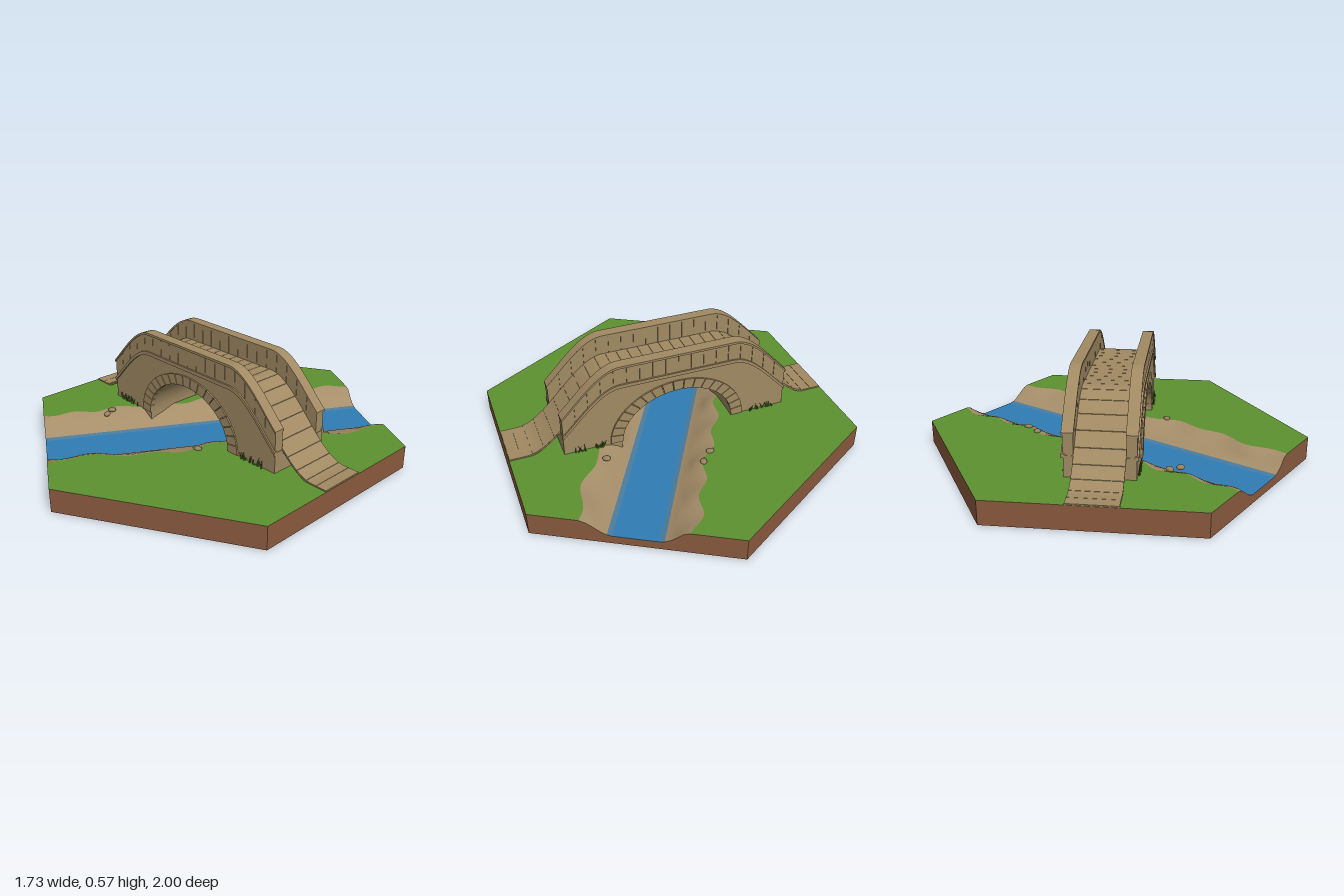
import * as THREE from 'three';
import { mergeGeometries } from 'three/addons/utils/BufferGeometryUtils.js';

const paint = (name, color) => {
  const m = new THREE.MeshStandardMaterial({ color });
  m.name = name;
  return m;
};

// Surface through a grid of points; flat gives hard facets
function sheet(rows, flat = false) {
  const n = rows[0].length, index = [];
  for (let i = 0; i < rows.length - 1; i++)
    for (let j = 0; j < n - 1; j++) {
      const a = i * n + j, b = a + 1, c = a + n, d = c + 1;
      index.push(a, b, c, b, d, c);
    }
  let g = new THREE.BufferGeometry().setFromPoints(rows.flat());
  g.setIndex(index);
  if (flat) g = g.toNonIndexed();
  g.computeVertexNormals();
  return g;
}

// Height of the humped roadway along the bridge
const deckY = x => 0.465 - 0.342 * THREE.MathUtils.smoothstep(Math.abs(x), 0.3, 0.78);

const extrude = (shape, z0, z1) =>
  new THREE.ExtrudeGeometry(shape, { depth: z1 - z0, bevelEnabled: false, steps: 1 }).translate(0, 0, z0);

// Slab following the roadway between two height offsets
function band(x0, x1, lo, hi, z0, z1) {
  const n = Math.max(2, Math.ceil((x1 - x0) / 0.025)), bottom = [], top = [];
  for (let i = 0; i <= n; i++) {
    const x = x0 + (x1 - x0) * i / n;
    bottom.push(new THREE.Vector2(x, deckY(x) + lo));
    top.unshift(new THREE.Vector2(x, deckY(x) + hi));
  }
  return extrude(new THREE.Shape([...bottom, ...top]), z0, z1);
}

export function createModel() {
  const grass = paint('grass green', 0x5c9130), sand = paint('river bank sand', 0xa68e69);
  const water = paint('water blue', 0x2f7db4), shallows = paint('shallow water', 0x4a7b9d);
  const soil = paint('soil brown', 0x8a5a3e), stone = paint('bridge stone', 0xa18a63);
  const rock = paint('rock', 0x96825f), leaf = paint('leaf green', 0x41691f);
  const model = new THREE.Group();
  const add = (name, geometry, material) => {
    const mesh = new THREE.Mesh(geometry, material);
    mesh.name = name;
    model.add(mesh);
    return mesh;
  };

  // Ground grid: s runs along the river, u across it
  const H = Math.sqrt(3) / 2, N = 64, rows = [];
  for (let i = 0; i <= N; i++) {
    const s = H * (2 * i / N - 1), rim = 1 - Math.abs(s) / H * 0.5;
    const west = 0.265 + 0.018 * Math.sin(26 * s + 1) + 0.008 * Math.sin(11 * s);
    const east = 0.262 + 0.028 * Math.sin(7 * s + 3.6) + 0.015 * Math.sin(22 * s);
    const half = w => [[rim, 0.12], [w, 0.12], [w - 0.03, 0.111], [0.185, 0.082],
      [0.155, 0.06], [0.132, 0.05], [0.108, 0.045]];
    const profile = [...half(west).map(([u, y]) => [-u, y]), ...half(east).reverse()];
    rows.push(profile.map(([u, y]) => new THREE.Vector3(s * 0.5 + u * H, y, -H * s + u * 0.5)));
  }
  const columns = (a, b) => sheet(rows.map(r => r.slice(a, b + 1)));
  add('west grass', columns(0, 1), grass);
  add('west river bank', columns(1, 5), sand);
  add('west shallows', columns(5, 6), shallows);
  add('river', columns(6, 7), water);
  add('east shallows', columns(7, 8), shallows);
  add('east river bank', columns(8, 12), sand);
  add('east grass', columns(12, 13), grass);

  // Soil sides under the rim of the ground, and the underside
  const last = rows[0].length - 1;
  const loop = [...rows[0], ...rows.slice(1).map(r => r[last]),
    ...rows[N].slice(0, last).reverse(), ...rows.slice(0, N).reverse().map(r => r[0])];
  add('soil sides', sheet([loop.map(p => new THREE.Vector3(p.x, 0, p.z)), loop], true), soil);
  add('soil underside', new THREE.CircleGeometry(1, 6, Math.PI / 2).rotateX(Math.PI / 2), soil);

  // Bridge body with an elliptical arch
  const body = new THREE.Shape();
  body.moveTo(0.6, 0.048);
  for (let i = 0; i <= 48; i++) {
    const x = 0.6 - i * 0.025;
    body.lineTo(x, deckY(x) - 0.004);
  }
  body.lineTo(-0.6, 0.048);
  body.lineTo(-0.3, 0.048);
  for (let i = 0; i <= 40; i++) {
    const a = Math.PI * (1 - i / 40);
    body.lineTo(0.3 * Math.cos(a), 0.12 + 0.247 * Math.sin(a));
  }
  body.lineTo(0.3, 0.048);
  add('bridge body', extrude(body, -0.168, 0.168), stone);

  // Roadway: thin curved sheet carrying separate paving slabs
  const paving = [], SLABS = 30;
  for (let i = 0; i < SLABS; i++) {
    const x0 = -0.864 + 1.728 * i / SLABS;
    paving.push(band(x0 + 0.001, x0 + 1.728 / SLABS - 0.001, 0, 0.003, -0.119, 0.119));
  }
  add('roadway', band(-0.864, 0.864, -0.008, 0, -0.12, 0.12), stone);
  add('paving slabs', mergeGeometries(paving), stone);

  // Parapets, ledges and arch stones on both faces
  for (const side of [1, -1]) {
    const label = side > 0 ? 'front' : 'back';
    const range = (a, b) => side > 0 ? [a, b] : [-b, -a];
    add(label + ' parapet core', band(-0.599, 0.599, -0.01, 0.1, ...range(0.124, 0.165)), stone);
    const panels = [], PANELS = 18;
    for (let i = 0; i < PANELS; i++) {
      const x0 = -0.6 + 1.2 * i / PANELS;
      panels.push(band(x0 + 0.001, x0 + 1.2 / PANELS - 0.001, -0.003, 0.1, ...range(0.12, 0.169)));
    }
    add(label + ' parapet panels', mergeGeometries(panels), stone);
    add(label + ' parapet cap', band(-0.602, 0.602, 0.097, 0.109, ...range(0.118, 0.175)), stone);
    add(label + ' ledge', band(-0.602, 0.602, -0.014, 0.005, ...range(0.16, 0.177)), stone);

    const ring = [], STONES = 19;
    for (let i = 0; i < STONES; i++) {
      const a0 = Math.PI * i / STONES + 0.006, a1 = Math.PI * (i + 1) / STONES - 0.006;
      const at = (a, rx, ry) => new THREE.Vector2(rx * Math.cos(a), 0.12 + ry * Math.sin(a));
      const mid = (a0 + a1) / 2;
      ring.push(extrude(new THREE.Shape([at(a0, 0.298, 0.245), at(a0, 0.362, 0.3), at(mid, 0.362, 0.3),
        at(a1, 0.362, 0.3), at(a1, 0.298, 0.245), at(mid, 0.298, 0.245)]), ...range(0.15, 0.176)));
    }
    add(label + ' arch stones', mergeGeometries(ring), stone);
  }

  // Small rocks along the banks
  [[-0.08, -0.4], [-0.02, -0.46], [0.415, -0.27], [-0.465, 0.31], [-0.44, 0.36], [0.18, 0.265]]
    .forEach(([x, z], i) => {
      const m = add('rock', new THREE.IcosahedronGeometry(0.022, 1), rock);
      m.scale.set(1, 0.55, 0.8);
      m.rotation.y = i * 1.3;
      m.position.set(x, 0.122, z);
    });

  // Leafy tufts against the abutments
  let seed = 7;
  const random = () => (seed = (seed * 16807) % 2147483647) / 2147483647;
  for (const side of [1, -1])
    for (const centre of [-0.48, 0.47]) {
      const blades = [];
      for (let i = 0; i < 16; i++) {
        const h = 0.02 + 0.03 * random();
        blades.push(new THREE.ConeGeometry(0.005, h, 4).translate(0, h / 2, 0)
          .rotateZ((random() - 0.5) * 1.1)
          .translate(centre + (random() - 0.5) * 0.15, 0.118, side * (0.171 + 0.008 * random())));
      }
      add('leafy tuft', mergeGeometries(blades), leaf);
    }
  return model;
}
